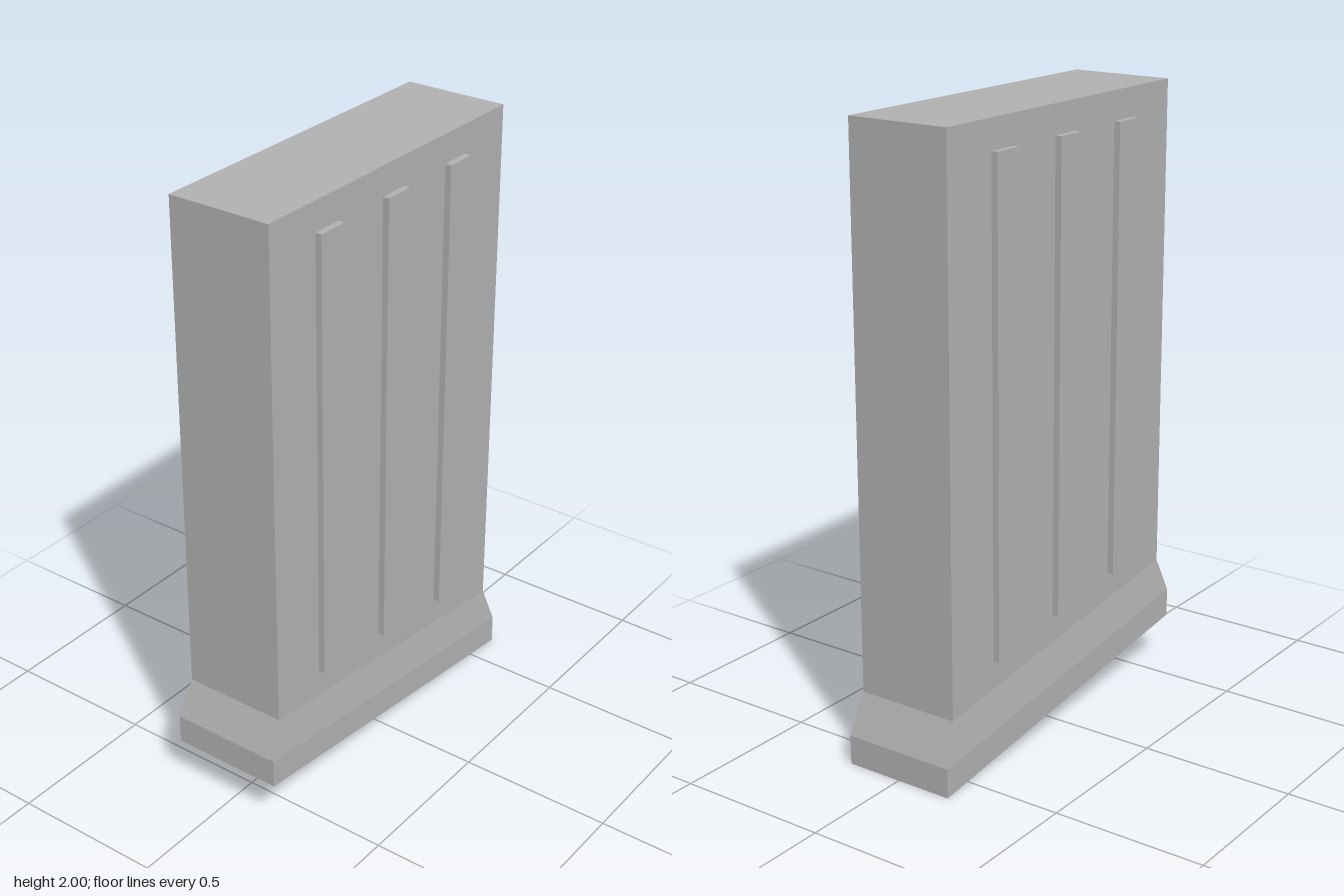
import * as THREE from 'three';

const SLOPE = -0.1255; // incline of the ground line along x

// Box whose rows follow levels from bottom to top: { y, w, d, s }
// y = height at x = 0, w = half width, d = half depth, s = slope along x
function steppedBlock(levels, material, name, x = 0, z = 0) {
  const rows = levels.length - 1;
  const box = new THREE.BoxGeometry(2, rows, 2, 1, rows, 1);
  const p = box.attributes.position;
  for (let i = 0; i < p.count; i++) {
    const level = levels[Math.round(p.getY(i) + rows / 2)];
    const px = x + Math.sign(p.getX(i)) * level.w;
    p.setXYZ(i, px, level.y + level.s * px, z + Math.sign(p.getZ(i)) * level.d);
  }
  const geometry = box.toNonIndexed();
  geometry.computeVertexNormals();
  const mesh = new THREE.Mesh(geometry, material);
  mesh.name = name;
  return mesh;
}

export function createModel() {
  const group = new THREE.Group();
  group.name = 'pillar';
  const concrete = new THREE.MeshStandardMaterial({ color: 0xb2b2b2, flatShading: true });
  concrete.name = 'concrete grey';

  // Flared plinth and upright slab in one closed body
  group.add(steppedBlock([
    { y: 0.0776, w: 0.618, d: 0.188, s: SLOPE },
    { y: 0.173, w: 0.618, d: 0.188, s: SLOPE },
    { y: 0.301, w: 0.569, d: 0.173, s: SLOPE },
    { y: 2, w: 0.569, d: 0.173, s: 0 },
  ], concrete, 'body'));

  // Three raised ribs on the front and on the back
  for (const side of [1, -1]) {
    for (const x of [-0.315, -0.001, 0.313]) {
      group.add(steppedBlock([
        { y: 0.393, w: 0.052, d: 0.015, s: SLOPE },
        { y: 1.906, w: 0.052, d: 0.015, s: 0 },
      ], concrete, side > 0 ? 'frontRib' : 'backRib', x, side * 0.179));
    }
  }
  return group;
}
